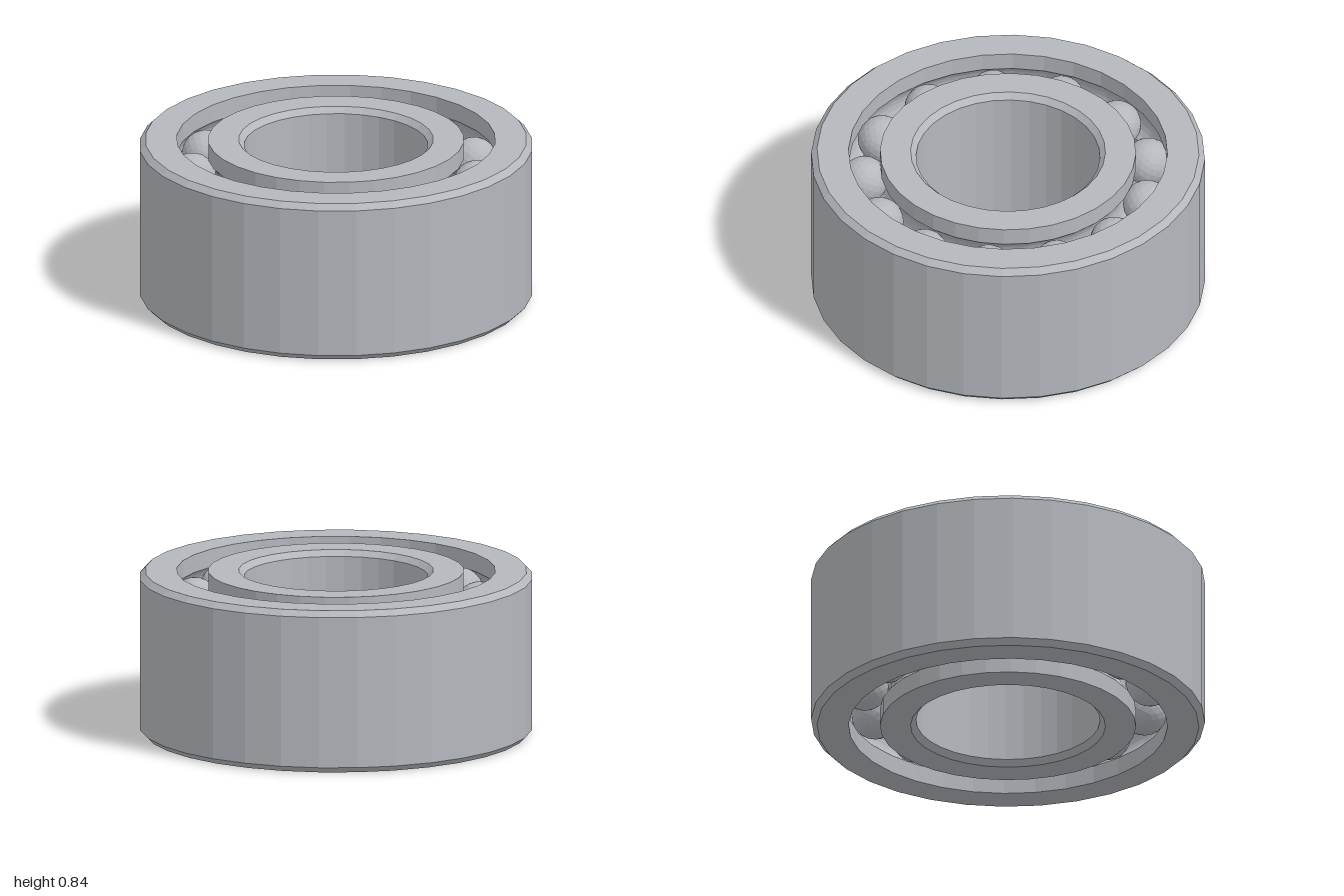
import * as THREE from 'three';

const HEIGHT = 0.84;
const SIDES = 32;
const PITCH = 0.73;            // radius of the ball circle
const BALL = 0.122;
const BALLS_PER_ROW = 13;
const ROWS = [0.19, 0.65];     // heights of the two ball rows

// Groove arc bulging into a wall; dir = 1 cuts outward, -1 cuts inward
function groove(wallRadius, y, dir, upward) {
  const r = BALL + 0.004;
  const half = Math.acos(Math.abs(wallRadius - PITCH) / r);
  const points = [];
  for (let i = 0; i <= 8; i++) {
    const a = (upward ? -1 : 1) * half * (1 - i / 4);
    points.push([PITCH + dir * r * Math.cos(a), y + r * Math.sin(a)]);
  }
  return points;
}

// Closed ring turned from a counter-clockwise cross-section
function ring(name, profile, material) {
  const points = [...profile, profile[0]].map(([x, y]) => new THREE.Vector2(x, y));
  const mesh = new THREE.Mesh(new THREE.LatheGeometry(points, SIDES), material);
  mesh.name = name;
  return mesh;
}

export function createModel() {
  const group = new THREE.Group();
  group.name = 'ballBearing';
  const steel = new THREE.MeshStandardMaterial({ color: 0xb4b8bd });
  steel.name = 'steel';
  steel.flatShading = true;

  // Outer ring: chamfered outside, two raceways inside
  group.add(ring('outerRing', [
    [0.81, 0], [0.97, 0], [1, 0.03], [1, HEIGHT - 0.03], [0.97, HEIGHT], [0.81, HEIGHT],
    ...groove(0.81, ROWS[1], 1, false),
    ...groove(0.81, ROWS[0], 1, false),
  ], steel));

  // Inner ring: two raceways outside, chamfered bore
  group.add(ring('innerRing', [
    [0.495, 0], [0.65, 0],
    ...groove(0.65, ROWS[0], -1, true),
    ...groove(0.65, ROWS[1], -1, true),
    [0.65, HEIGHT], [0.495, HEIGHT], [0.467, HEIGHT - 0.03], [0.467, 0.03],
  ], steel));

  // Two rows of faceted balls
  const ballGeometry = new THREE.IcosahedronGeometry(BALL, 3);
  ROWS.forEach((y, row) => {
    const balls = new THREE.Group();
    balls.name = row ? 'upperBalls' : 'lowerBalls';
    for (let i = 0; i < BALLS_PER_ROW; i++) {
      const a = (i / BALLS_PER_ROW) * Math.PI * 2;
      const ball = new THREE.Mesh(ballGeometry, steel);
      ball.name = 'ball';
      ball.position.set(PITCH * Math.cos(a), y, PITCH * Math.sin(a));
      ball.rotation.y = -a;
      balls.add(ball);
    }
    group.add(balls);
  });
  return group;
}
